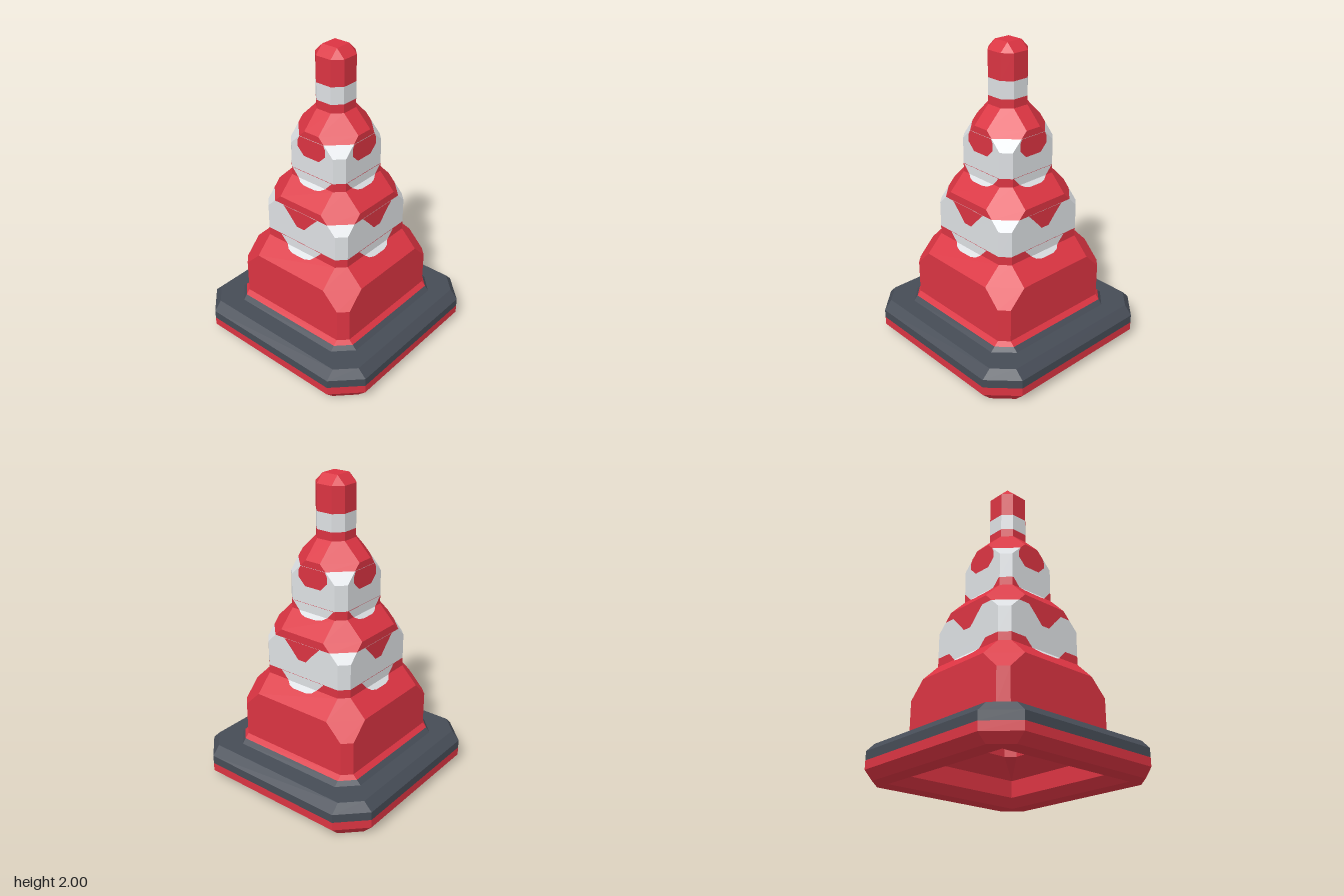
import * as THREE from 'three';

const red = new THREE.MeshStandardMaterial({ color: 0xdb3442 });
red.name = 'cone red';
const white = new THREE.MeshStandardMaterial({ color: 0xdde0e3 });
white.name = 'reflective pale grey';
const slate = new THREE.MeshStandardMaterial({ color: 0x464c56 });
slate.name = 'slate rubber';

// Ring sizes are counted in steps of 1/18
const STEP = 1 / 18;

// Chamfered square ring: half width a, flat side half length b, height y
function ring([a, b, y]) {
  return [[a, b], [a, -b], [b, -a], [-b, -a], [-a, -b], [-a, b], [-b, a], [b, a]]
    .map(([x, z]) => new THREE.Vector3(x, y, z).multiplyScalar(STEP));
}

// Faceted surface through a list of rings
function loft(rings) {
  const pos = [];
  const tri = (p, q, r) => {
    const area = q.clone().sub(p).cross(r.clone().sub(p)).length();
    if (area > 1e-7) for (const v of [p, q, r]) pos.push(v.x, v.y, v.z);
  };
  for (let k = 0; k + 1 < rings.length; k++) {
    const lo = ring(rings[k]), hi = ring(rings[k + 1]);
    for (let i = 0; i < 8; i++) {
      const j = (i + 1) % 8;
      tri(lo[i], lo[j], hi[j]);
      tri(lo[i], hi[j], hi[i]);
    }
  }
  const g = new THREE.BufferGeometry();
  g.setAttribute('position', new THREE.Float32BufferAttribute(pos, 3));
  g.computeVertexNormals();
  return g;
}

// Mirrored half outline [x, y] laid on a wall at z = a; below y0 it follows the 45 degree slope
function paint(half, a, y0) {
  const pts = [...half, ...half.map(([x, y]) => [-x, y]).reverse()];
  const g = new THREE.ShapeGeometry(new THREE.Shape(pts.map(p => new THREE.Vector2(...p))));
  const p = g.attributes.position;
  for (let i = 0; i < p.count; i++) p.setZ(i, a + Math.max(0, y0 - p.getY(i)) + 0.003);
  g.computeVertexNormals();
  return g;
}

export function createModel() {
  const group = new THREE.Group();
  const add = (name, geometry, material) => {
    const m = new THREE.Mesh(geometry, material);
    m.name = name;
    group.add(m);
    return m;
  };

  // Bands of the body, each ring is [half width, flat half length, height]
  const bands = [
    ['hollowInside', red, [[0, 0, 27], [2, 1, 25], [2, 1, 21], [4, 1, 19], [4, 3, 17], [4, 3, 13],
      [6, 3, 11], [6, 5, 9], [6, 5, 5], [8, 8, 3], [8, 8, 1], [9, 9, 0]]],
    ['baseUnderside', red, [[9, 9, 0], [11, 9, 0], [12, 9, 1], [12, 9, 2]]],
    ['baseTop', slate, [[12, 9, 2], [12, 9, 3], [11, 9, 4], [9, 7, 4], [8.5, 7, 4.5]]],
    ['lowerTier', red, [[8.5, 7, 4.5], [8, 7, 5], [8, 7, 9], [8, 5, 11], [6, 5, 13], [6, 5, 14]]],
    ['lowerStripe', white, [[6, 5, 14], [6, 5, 17], [6, 3.9, 18.1]]],
    ['middleTier', red, [[6, 3.9, 18.1], [6, 3, 19], [4, 3, 21], [4, 3, 22]]],
    ['upperStripe', white, [[4, 3, 22], [4, 3, 25], [4, 1.75, 26.25]]],
    ['upperTier', red, [[4, 1.75, 26.25], [4, 1, 27], [2, 1, 29], [2, 1, 30]]],
    ['tipStripe', white, [[2, 1, 30], [2, 1, 32]]],
    ['tip', red, [[2, 1, 32], [2, 1, 35], [1, 1, 36], [0, 0, 36]]],
  ];
  for (const [name, material, rings] of bands) add(name, loft(rings), material);

  // Wavy stripe edges, repeated on the four sides
  const waves = [
    ['lowerStripeNotch', red, [[0.03, 0.89], [0.08, 0.945], [0.14, 1.006]], 6, 13],
    ['lowerStripeDip', white, [[0.115, 0.722], [0.17, 0.778]], 6, 13],
    ['lowerStripeSpill', white, [[0.05, 0.694], [0.09, 0.703], [0.115, 0.722]], 6, 13],
    ['upperStripeNotch', red, [[0.06, 1.335], [0.11, 1.385], [0.11, 1.43], [0.095, 1.458]], 4, 21],
    ['upperStripeDip', white, [[0.11, 1.167], [0.16, 1.222]], 4, 21],
    ['upperStripeSpill', white, [[0.045, 1.143], [0.08, 1.15], [0.11, 1.167]], 4, 21],
  ];
  for (const [name, material, half, a, y0] of waves) {
    const g = paint(half, a * STEP, y0 * STEP);
    for (let k = 0; k < 4; k++) add(name, g, material).rotation.y = k * Math.PI / 2;
  }
  return group;
}
